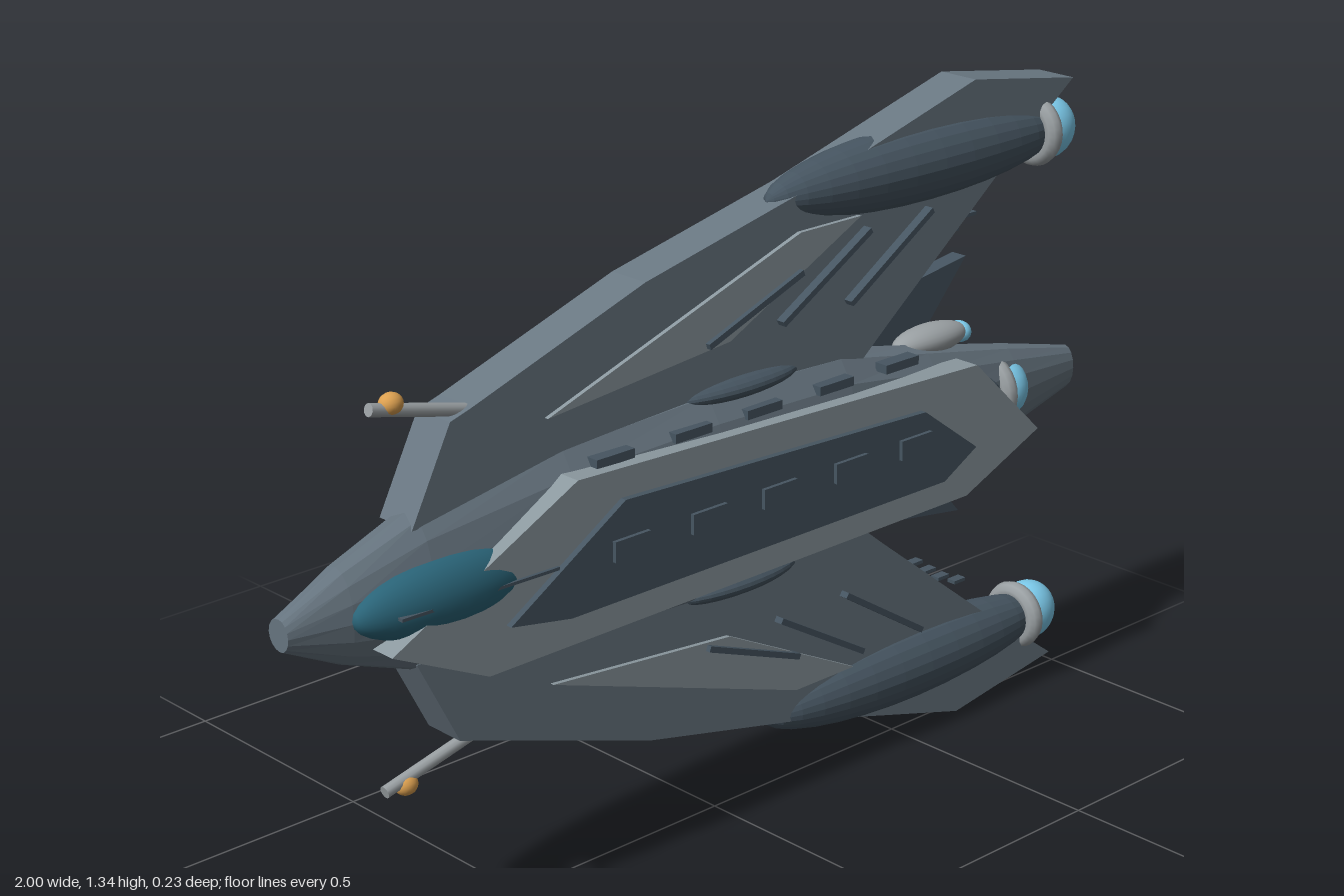
import * as THREE from 'three';

const MID = 0.675; // mirror line between upper and lower halves
const mat = (color, flat = true) =>
  new THREE.MeshStandardMaterial({ color, flatShading: flat });
const HULL = mat(0x66747f), WING = mat(0x6a7883), DARK = mat(0x465561), PLATE = mat(0x8b989f);
const RING = mat(0x9aa0a3, false), GLOW = mat(0x7ccbec, false), GLASS = mat(0x2a6478, false);
const ORANGE = mat(0xdca050, false);

function add(parent, name, geometry, material, x = 0, y = 0, z = 0) {
  const mesh = new THREE.Mesh(geometry, material);
  mesh.name = name;
  mesh.position.set(x, y, z);
  parent.add(mesh);
  return mesh;
}

// Flat plate between two depths, from an outline in x and y
function plate(parent, name, points, z0, z1, material) {
  const shape = new THREE.Shape(points.map(p => new THREE.Vector2(...p)));
  const geometry = new THREE.ExtrudeGeometry(shape, { depth: z1 - z0, bevelEnabled: false });
  return add(parent, name, geometry, material, 0, 0, z0);
}

function ellipsoid(parent, name, c, r, material, sides = 24) {
  const geometry = new THREE.SphereGeometry(1, sides, 16);
  geometry.rotateZ(Math.PI / 2).scale(...r);
  return add(parent, name, geometry, material, ...c);
}

function ring(parent, name, c, radius, tube) {
  const geometry = new THREE.TorusGeometry(radius, tube, 10, 28).rotateY(Math.PI / 2);
  return add(parent, name, geometry, RING, ...c);
}

// Round or square bar between two points in a plane of constant z
function bar(parent, name, a, b, z, width, material, round) {
  const length = Math.hypot(b[0] - a[0], b[1] - a[1]);
  const geometry = round
    ? new THREE.CylinderGeometry(width / 2, width / 2, length, 10).rotateZ(Math.PI / 2)
    : new THREE.BoxGeometry(length, width, width * 2);
  const mesh = add(parent, name, geometry, material, (a[0] + b[0]) / 2, (a[1] + b[1]) / 2, z);
  mesh.rotation.z = Math.atan2(b[1] - a[1], b[0] - a[0]);
  return mesh;
}

// Faceted hull skinned over elliptical sections along x
function hullGeometry() {
  const stations = [ // x, half height, back depth
    [-1, 0.03, 0.03], [-0.88, 0.09, 0.06], [-0.72, 0.15, 0.083], [-0.4, 0.2, 0.101],
    [-0.05, 0.216, 0.113], [0.3, 0.203, 0.106], [0.55, 0.15, 0.09], [0.8, 0.095, 0.06], [1, 0.045, 0.03],
  ];
  const sides = 16, pos = [], index = [];
  for (const [x, ry, rz] of stations)
    for (let i = 0; i < sides; i++) {
      const a = i / sides * Math.PI * 2, c = Math.cos(a);
      pos.push(x, MID + Math.sin(a) * ry, c * rz * (c > 0 ? 0.82 : 1));
    }
  const last = (stations.length - 1) * sides;
  for (let s = 0; s < last; s += sides)
    for (let i = 0; i < sides; i++) {
      const j = (i + 1) % sides;
      index.push(s + i, s + sides + j, s + j, s + i, s + sides + i, s + sides + j);
    }
  for (let i = 1; i < sides - 1; i++)
    index.push(0, i, i + 1, last, last + i + 1, last + i);
  // Reverse the winding so the skin faces outward
  for (let i = 0; i < index.length; i += 3)
    [index[i + 1], index[i + 2]] = [index[i + 2], index[i + 1]];
  const geometry = new THREE.BufferGeometry();
  geometry.setAttribute('position', new THREE.Float32BufferAttribute(pos, 3));
  geometry.setIndex(index);
  outward(geometry);
  geometry.computeVertexNormals();
  return geometry;
}

// Turn every triangle to face away from the long axis of the hull
function outward(geometry) {
  const p = geometry.attributes.position, idx = geometry.index;
  const v = [0, 1, 2].map(() => new THREE.Vector3()), tri = new THREE.Triangle(...v);
  const normal = new THREE.Vector3(), mid = new THREE.Vector3();
  for (let i = 0; i < idx.count; i += 3) {
    [tri.a, tri.b, tri.c].forEach((q, k) => q.fromBufferAttribute(p, idx.getX(i + k)));
    tri.getNormal(normal);
    tri.getMidpoint(mid);
    mid.y -= MID;
    if (normal.dot(mid) < 0) {
      const t = idx.getX(i + 1);
      idx.setX(i + 1, idx.getX(i + 2));
      idx.setX(i + 2, t);
    }
  }
}

// Everything on one side; sign is 1 for the upper half and -1 for the lower
function buildSide(sign) {
  const side = new THREE.Group();
  side.name = sign > 0 ? 'upperSide' : 'lowerSide';
  const Y = y => MID + sign * (y - MID);
  const P = list => list.map(([x, y]) => [x, Y(y)]);

  // Swept wing with a raised panel, ribs and a rod on the back
  plate(side, 'wing', P([[-0.74, 0.8], [-0.65, 0.975], [-0.6, 0.99], [-0.2, 1.125], [0.2, 1.215],
    [0.66, 1.345], [0.95, 1.3], [0.73, 1.14], [0.43, 0.905], [0.3, 0.8]]), -0.056, 0.033, WING);
  plate(side, 'wingPanel', P([[-0.44, 0.93], [0.18, 1.14], [0.34, 1.14], [0.0, 0.97]]), 0.03, 0.042, PLATE);
  for (const [a, b] of [[[-0.06, 0.975], [0.18, 1.065]], [[0.13, 0.975], [0.36, 1.11]], [[0.31, 0.975], [0.53, 1.115]]])
    bar(side, 'wingRib', ...P([a, b]), 0.04, 0.012, DARK);
  bar(side, 'wingRod', ...P([[-0.12, 0.98], [0.31, 1.095]]), -0.068, 0.024, RING, true);
  for (const [x, y] of [[0.555, 0.99], [0.595, 1.018], [0.635, 1.044], [0.685, 1.066]])
    add(side, 'edgeVane', new THREE.BoxGeometry(0.032, 0.007, 0.02), DARK, x, Y(y), 0);

  // Wing engine
  ellipsoid(side, 'wingEngine', [0.54, Y(1.2), 0], [0.41, 0.078, 0.076], DARK);
  ring(side, 'wingEngineRing', [0.872, Y(1.2), 0], 0.052, 0.02);
  ellipsoid(side, 'wingEngineGlow', [0.91, Y(1.2), 0], [0.064, 0.064, 0.056], GLOW);

  // Antenna with a lamp
  bar(side, 'antenna', ...P([[-0.805, 1.03], [-0.6, 0.98]]), 0.012, 0.024, RING, true);
  ellipsoid(side, 'antennaLamp', [-0.758, Y(1.03), 0.012], [0.023, 0.02, 0.02], ORANGE, 16);

  // Tail fin, hull blister and small thruster
  plate(side, 'tailFin', P([[0.25, 0.77], [0.45, 0.905], [0.755, 0.95], [0.64, 0.82]]), -0.1, -0.064, DARK);
  ellipsoid(side, 'hullBlister', [0.04, Y(0.872), 0], [0.17, 0.027, 0.06], DARK);
  ellipsoid(side, 'smallThruster', [0.6, Y(0.822), -0.015], [0.1, 0.031, 0.04], RING);
  ellipsoid(side, 'smallThrusterGlow', [0.688, Y(0.818), -0.015], [0.022, 0.022, 0.026], GLOW, 16);
  return side;
}

export function createModel() {
  const ship = new THREE.Group();
  ship.name = 'spacecraft';
  add(ship, 'hull', hullGeometry(), HULL);
  ship.add(buildSide(1), buildSide(-1));

  // Stacked armour plates on the front face
  plate(ship, 'armourPlate', [[-0.84, 0.615], [-0.63, 0.515], [0.6, 0.52], [0.81, 0.61],
    [0.62, 0.79], [-0.42, 0.825]], 0.04, 0.096, PLATE);
  plate(ship, 'armourInlay', [[-0.59, 0.6], [-0.45, 0.575], [0.52, 0.575], [0.61, 0.625],
    [0.46, 0.735], [-0.32, 0.765]], 0.09, 0.109, DARK);

  // Rows of windows
  for (const x of [-0.31, -0.12, 0.06, 0.25, 0.43]) {
    add(ship, 'window', new THREE.BoxGeometry(0.085, 0.04, 0.02), DARK, x, 0.675, 0.107);
    add(ship, 'edgeWindow', new THREE.BoxGeometry(0.09, 0.018, 0.03), DARK, x, 0.83, 0.058);
  }

  // Cockpit canopy with its frame
  ellipsoid(ship, 'canopy', [-0.68, 0.68, 0.05], [0.205, 0.07, 0.056], GLASS);
  bar(ship, 'canopyFrame', [-0.82, 0.68], [-0.47, 0.675], 0.096, 0.006, DARK);

  // Main engine set into the tail
  ellipsoid(ship, 'mainEngine', [0.6, 0.68, -0.005], [0.18, 0.09, 0.1], DARK);
  ring(ship, 'mainEngineRing', [0.76, 0.68, -0.005], 0.062, 0.02);
  ellipsoid(ship, 'mainEngineGlow', [0.79, 0.68, -0.005], [0.06, 0.07, 0.073], GLOW);
  return ship;
}
